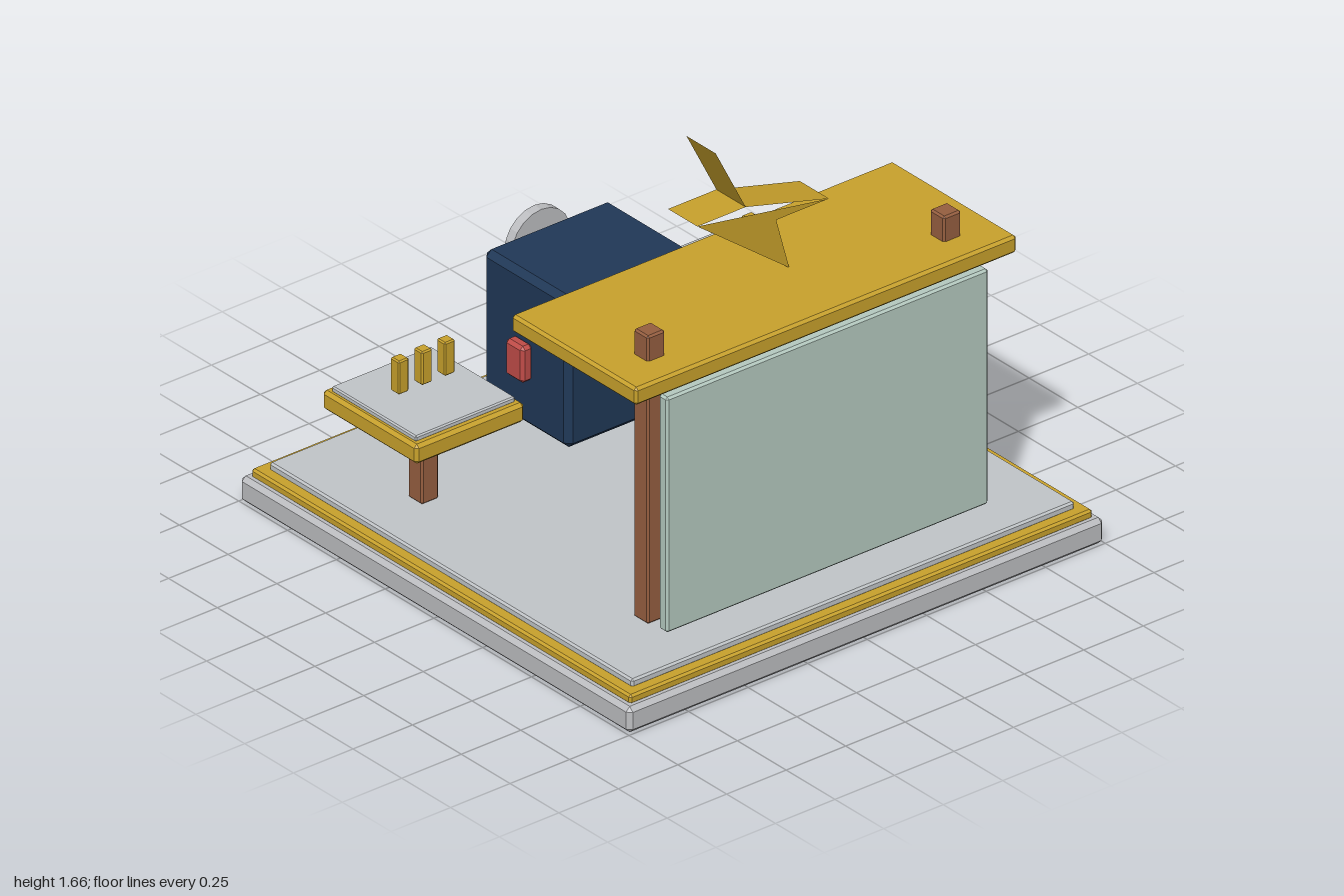
import * as THREE from 'three';
import { ConvexGeometry } from 'three/addons/geometries/ConvexGeometry.js';

const mat = (name, color) => {
  const m = new THREE.MeshStandardMaterial({ color });
  m.name = name;
  return m;
};

// Box with chamfered edges, centred on the origin
function bevelBox(w, h, d, b) {
  const points = [];
  for (const x of [-1, 1]) for (const y of [-1, 1]) for (const z of [-1, 1]) {
    const [X, Y, Z] = [x * w / 2, y * h / 2, z * d / 2];
    points.push(
      new THREE.Vector3(X, Y - y * b, Z - z * b),
      new THREE.Vector3(X - x * b, Y, Z - z * b),
      new THREE.Vector3(X - x * b, Y - y * b, Z));
  }
  return new ConvexGeometry(points);
}

export function createModel() {
  const root = new THREE.Group();
  root.name = 'powerStation';

  const grey = mat('light grey', 0xbdbec1);
  const floorGrey = mat('floor grey', 0xc1c5c8);
  const gold = mat('gold', 0xc9a22c);
  const brown = mat('brown', 0x965f40);
  const blue = mat('blue', 0x1f7fce);
  const navy = mat('navy', 0x203857);
  const glass = mat('pale green', 0xb5cac0);
  const red = mat('red', 0xc04c48);
  const darkRed = mat('dark red', 0x96302b);

  const add = (name, geometry, material, parent = root) => {
    const mesh = new THREE.Mesh(geometry, material);
    mesh.name = name;
    parent.add(mesh);
    return mesh;
  };
  // Chamfered box given by its lower and upper limits on each axis
  const box = (name, material, [x0, x1], [y0, y1], [z0, z1], bevel = 0.01, parent = root) => {
    const mesh = add(name, bevelBox(x1 - x0, y1 - y0, z1 - z0, bevel), material, parent);
    mesh.position.set((x0 + x1) / 2, (y0 + y1) / 2, (z0 + z1) / 2);
    return mesh;
  };
  const around = (c, half) => [c - half, c + half];

  // Stepped platform
  box('base', grey, [-1, 1], [0, 0.096], [-1, 1], 0.016);
  box('baseTrim', gold, [-0.972, 0.972], [0.09, 0.125], [-0.972, 0.972], 0.008);
  box('floor', floorGrey, [-0.93, 0.93], [0.12, 0.151], [-0.93, 0.93], 0.007);

  // Front stand: posts, panel and canopy
  for (const s of [-1, 1])
    box('post', brown, around(s * 0.622, 0.037), [0.15, 1.225], around(0.643, 0.037), 0.007);
  box('panel', glass, [-0.676, 0.676], [0.175, 1.053], [0.755, 0.799], 0.008);
  box('canopy', gold, [-0.803, 0.8], [1.066, 1.132], [0.155, 0.794], 0.01);

  // Lightning bolt on the canopy
  const bolt = new THREE.Shape([
    [-0.214, 1.665], [-0.291, 1.42], [-0.088, 1.42],
  ].reverse().concat([]).map(([x, y]) => new THREE.Vector2(x, y)));
  bolt.setFromPoints([
    [-0.214, 1.665], [-0.088, 1.42], [-0.291, 1.42],
    [0.095, 1.128], [0.04, 1.326], [0.262, 1.326],
  ].map(([x, y]) => new THREE.Vector2(x, y)));
  add('bolt', new THREE.ExtrudeGeometry(bolt, { depth: 0.15, bevelEnabled: false }), gold)
    .position.z = 0.335;

  // Generator with side switch
  const generator = new THREE.Group();
  generator.name = 'generator';
  root.add(generator);
  box('housing', navy, [-0.267, 0.265], [0.268, 0.833], [-0.648, -0.208], 0.022, generator);
  box('switch', red, [-0.31, -0.262], around(0.52, 0.068), around(-0.435, 0.046), 0.012, generator);

  // Vents on the back
  for (const y of [0.635, 0.518, 0.4]) {
    box('vent', navy, around(-0.003, 0.143), around(y, 0.028), [-0.67, -0.652], 0.005, generator);
    box('ventBar', gold, around(-0.003, 0.122), around(y, 0.016), [-0.684, -0.664], 0.004, generator);
  }

  // Dial and needle
  const dial = add('dial', new THREE.CylinderGeometry(0.124, 0.124, 0.037, 20).toNonIndexed(), grey, generator);
  dial.geometry.computeVertexNormals();
  dial.rotation.x = Math.PI / 2;
  dial.position.set(-0.003, 0.753, -0.685);
  const needle = add('needle', bevelBox(0.085, 0.02, 0.017, 0.003), darkRed, generator);
  needle.position.set(-0.041, 0.772, -0.71);
  needle.rotation.z = -0.36;

  // Side tables with pegs
  const table = (name, x, material, pegs) => {
    const g = new THREE.Group();
    g.name = name;
    root.add(g);
    const z = -0.432;
    box('tableLeg', brown, around(x, 0.036), [0.15, 0.46], around(z, 0.036), 0.006, g);
    box('tableTop', material, around(x, 0.229), [0.456, 0.529], around(z, 0.243), 0.012, g);
    box('tablePlate', floorGrey, around(x, 0.209), [0.525, 0.547], around(z, 0.216), 0.005, g);
    for (const px of pegs)
      box('peg', gold, around(x + px, 0.022), [0.583, 0.708], around(z - 0.002, 0.022), 0.005, g);
  };
  table('rightTable', -0.69, gold, [-0.098, 0, 0.096]);
  table('leftTable', 0.686, blue, [0]);

  return root;
}
